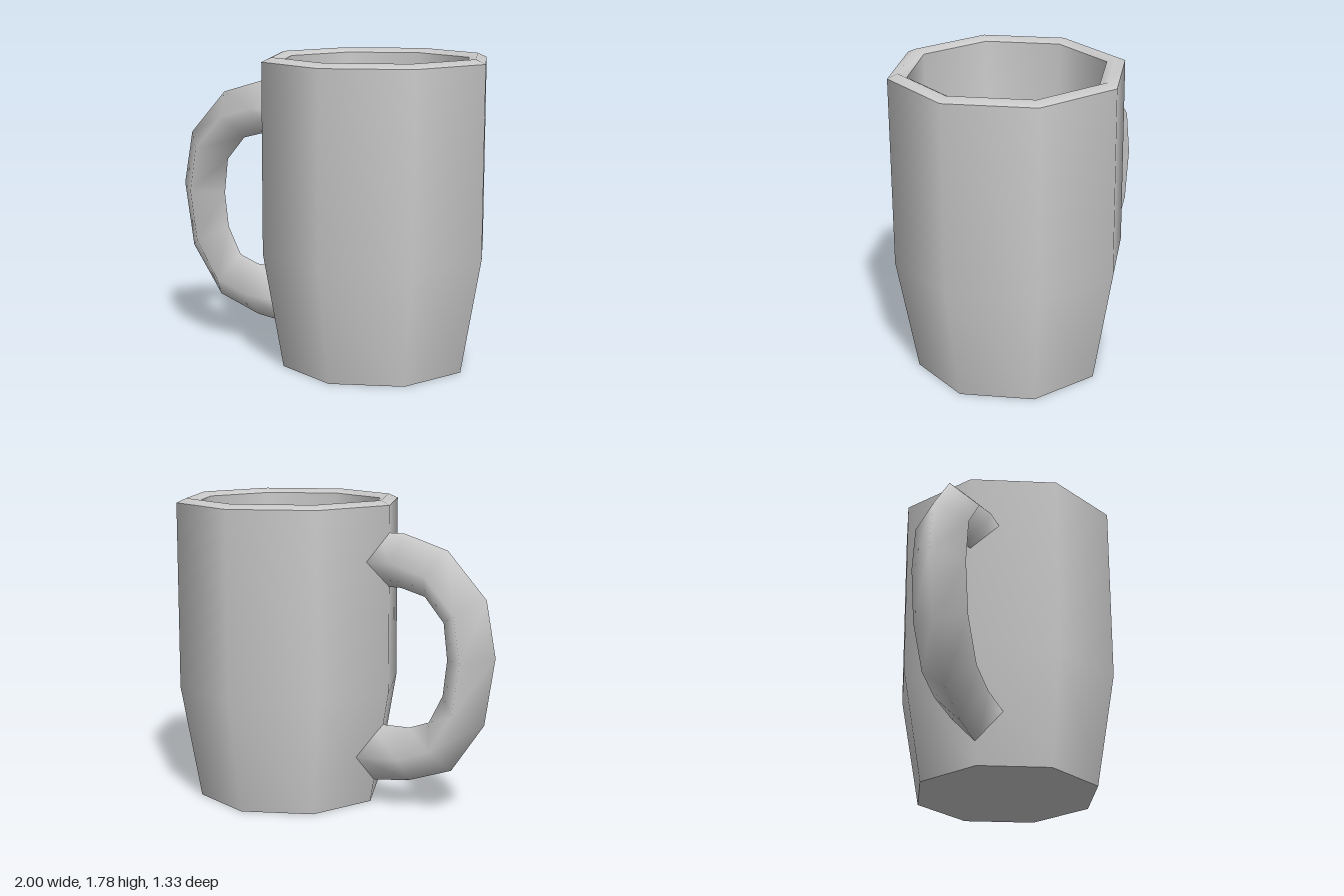
import * as THREE from 'three';

const material = new THREE.MeshStandardMaterial({ color: 0xcccccc });
const SIDES = 8;
const CENTRE_X = 0.333;

function addMesh(group, name, geometry) {
  const mesh = new THREE.Mesh(geometry, material);
  mesh.name = name;
  group.add(mesh);
  return mesh;
}

// Eight-sided turned part, smooth along its profile of [radius, height] points
function turned(profile) {
  return new THREE.LatheGeometry(profile.map(([r, y]) => new THREE.Vector2(r, y)), SIDES);
}

// Four-sided tube: each station is [outer x, outer y, inner x, inner y]
function diamondTube(stations, halfWidth) {
  const positions = [];
  const indices = [];
  stations.forEach(([ox, oy, ix, iy], i) => {
    const mx = (ox + ix) / 2, my = (oy + iy) / 2;
    positions.push(ox, oy, 0, mx, my, halfWidth, ix, iy, 0, mx, my, -halfWidth);
    if (i === 0) return;
    for (let k = 0; k < 4; k++) {
      const a = (i - 1) * 4 + k, b = (i - 1) * 4 + (k + 1) % 4;
      indices.push(a, a + 4, b, b, a + 4, b + 4);
    }
  });
  const geometry = new THREE.BufferGeometry();
  geometry.setAttribute('position', new THREE.Float32BufferAttribute(positions, 3));
  geometry.setIndex(indices);
  geometry.computeVertexNormals();
  return geometry;
}

export function createModel() {
  const group = new THREE.Group();
  group.name = 'mug';

  // Cup: outside wall with bevelled rim, hollow inside, flat base
  const cup = new THREE.Group();
  cup.name = 'cup';
  cup.position.x = CENTRE_X;
  group.add(cup);
  addMesh(cup, 'outerWall', turned([[0.55, 0], [0.667, 0.67], [0.667, 1.755]]));
  addMesh(cup, 'rim', turned([[0.667, 1.755], [0.61, 1.78], [0.56, 1.755]]));
  addMesh(cup, 'innerWall', turned([[0.56, 1.755], [0.56, 0.68], [0.46, 0.1], [0, 0.1]]));
  addMesh(cup, 'base', turned([[0, 0], [0.55, 0]]));

  // Handle: swept from the upper joint round to the lower joint
  addMesh(group, 'handle', diamondTube([
    [-0.25, 1.60, -0.25, 1.29],
    [-0.43, 1.60, -0.41, 1.29],
    [-0.70, 1.52, -0.56, 1.25],
    [-0.94, 1.26, -0.68, 1.11],
    [-1.00, 0.94, -0.705, 0.90],
    [-0.94, 0.55, -0.68, 0.69],
    [-0.74, 0.26, -0.595, 0.525],
    [-0.47, 0.165, -0.47, 0.48],
    [-0.20, 0.13, -0.20, 0.475],
  ], 0.155));

  return group;
}
